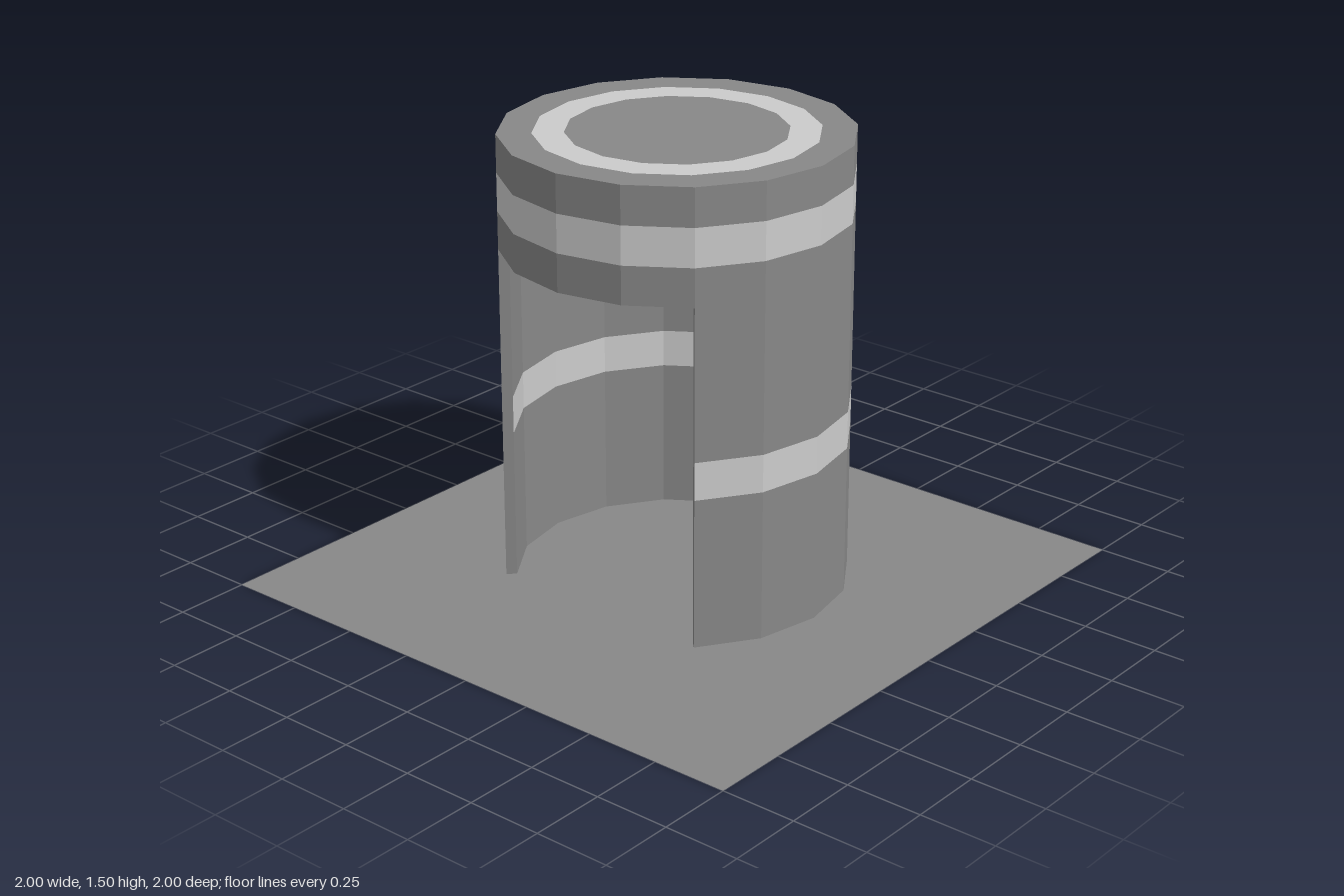
import * as THREE from 'three';

const SIDES = 16;
const OUTER = 0.56, INNER = 0.525;
const HEIGHT = 1.5, DOOR_TOP = 1.125, CEILING = 1.465;
const DOOR_HALF = Math.PI / 4; // doorway spans four of the sixteen sides

const dark = new THREE.MeshStandardMaterial({ color: 0x888888, flatShading: true });
const light = new THREE.MeshStandardMaterial({ color: 0xcccccc, flatShading: true });
const darkSheet = new THREE.MeshStandardMaterial({ color: 0x888888, flatShading: true, side: THREE.DoubleSide });

export function createModel() {
  const model = new THREE.Group();

  function add(name, geometry, material) {
    const mesh = new THREE.Mesh(geometry, material);
    mesh.name = name;
    model.add(mesh);
    return mesh;
  }

  // Faceted surface of revolution; an open one leaves out the doorway
  function revolve(name, profile, material, open = false) {
    const points = profile.map(([r, y]) => new THREE.Vector2(r, y));
    const geometry = open
      ? new THREE.LatheGeometry(points, SIDES * 0.75, DOOR_HALF, Math.PI * 1.5)
      : new THREE.LatheGeometry(points, SIDES);
    add(name, geometry, material);
  }

  // Ground sheet
  add('ground', new THREE.PlaneGeometry(2, 2).rotateX(-Math.PI / 2), darkSheet);

  // Outer wall in stacked courses: name, bottom, top, material
  const courses = [
    ['lowerWall', 0, 0.5, dark],
    ['lowerBand', 0.5, 0.625, light],
    ['middleWall', 0.625, DOOR_TOP, dark],
    ['lintelWall', DOOR_TOP, 1.25, dark],
    ['upperBand', 1.25, 1.375, light],
    ['rimWall', 1.375, HEIGHT, dark],
  ];
  for (const [name, y0, y1, material] of courses) {
    const open = y0 < DOOR_TOP;
    const top = Math.min(y1, CEILING);
    revolve(name, [[OUTER, y0], [OUTER, y1]], material, open);
    revolve(name + 'Inside', [[INNER, top], [INNER, y0]], material, open);
  }

  // Flat roof with an inlaid light ring, and the ceiling under it
  revolve('roofEdge', [[OUTER, HEIGHT], [0.45, HEIGHT]], dark);
  revolve('roofRing', [[0.45, HEIGHT], [0.35, HEIGHT]], light);
  revolve('roofCentre', [[0.35, HEIGHT], [0, HEIGHT]], dark);
  revolve('ceiling', [[0, CEILING], [INNER, CEILING]], dark);

  // Underside of the wall above the doorway
  const lintel = new THREE.LatheGeometry(
    [new THREE.Vector2(INNER, DOOR_TOP), new THREE.Vector2(OUTER, DOOR_TOP)],
    SIDES / 4, -DOOR_HALF, DOOR_HALF * 2);
  add('doorLintel', lintel, dark);

  // Wall ends on both sides of the doorway
  for (const [name, side] of [['leftDoorJamb', 1], ['rightDoorJamb', -1]]) {
    const jamb = add(name, new THREE.PlaneGeometry(OUTER - INNER, DOOR_TOP), darkSheet);
    const reach = (OUTER + INNER) / 2 * Math.SQRT1_2;
    jamb.position.set(side * reach, DOOR_TOP / 2, reach);
    jamb.rotation.y = -side * DOOR_HALF;
  }

  return model;
}
